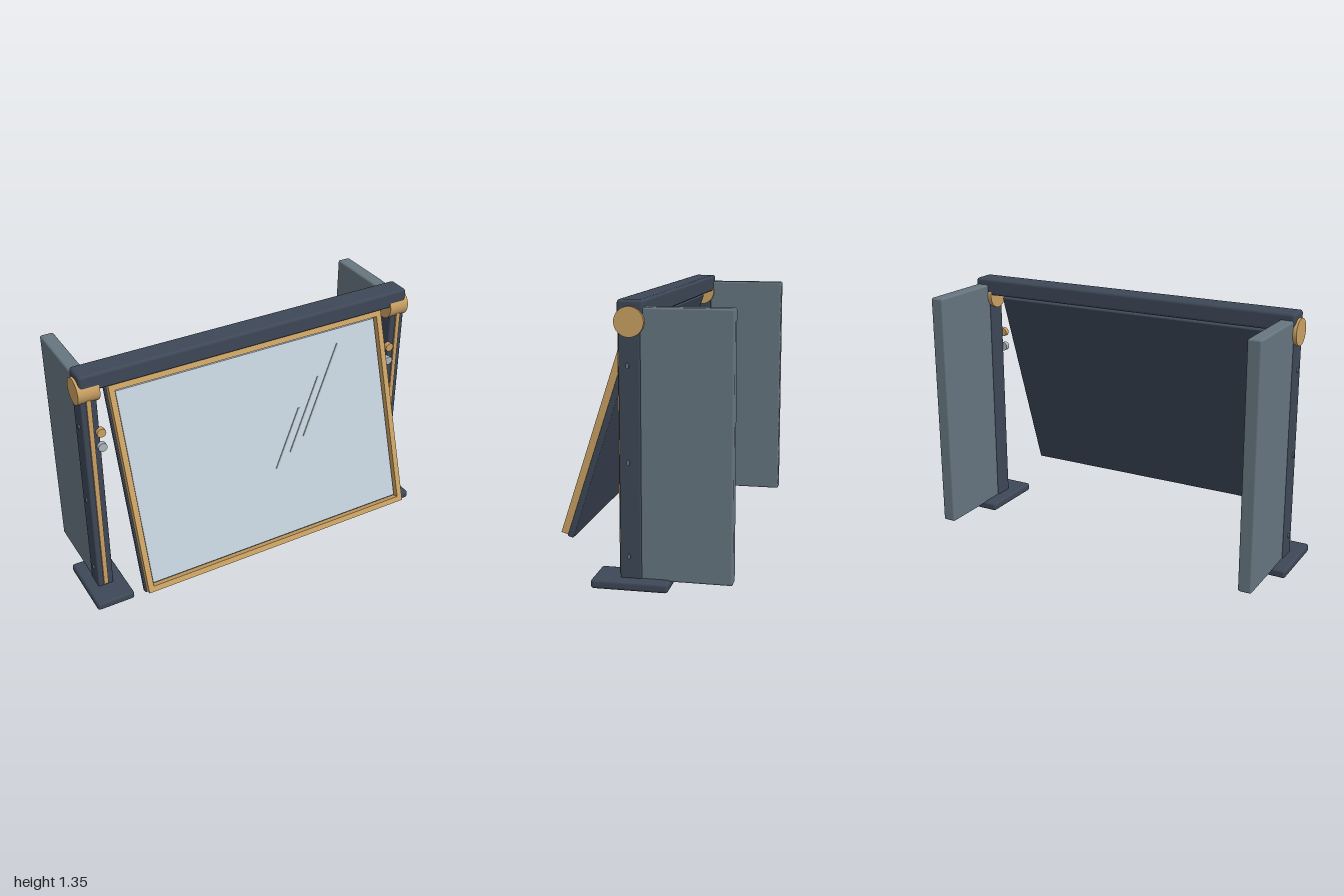
import * as THREE from 'three';
import { RoundedBoxGeometry } from 'three/addons/geometries/RoundedBoxGeometry.js';

function material(name, color) {
  const m = new THREE.MeshStandardMaterial({ color });
  m.name = name;
  return m;
}

export function createModel() {
  const navy = material('navy', 0x3d4756);
  const slate = material('slate', 0x66757f);
  const brass = material('brass', 0xc9a063);
  const glass = material('paleGlass', 0xc0ced8);
  const silver = material('silver', 0xa9b5bb);

  const model = new THREE.Group();
  model.name = 'tiltingPanelStand';

  const add = (parent, name, geometry, mat, x, y, z) => {
    const mesh = new THREE.Mesh(geometry, mat);
    mesh.name = name;
    mesh.position.set(x, y, z);
    parent.add(mesh);
    return mesh;
  };
  // Box with softened edges, given by its limits on each axis
  const block = (parent, name, mat, [x0, x1], [y0, y1], [z0, z1], r = 0) => {
    const size = [x1 - x0, y1 - y0, z1 - z0];
    const geometry = r ? new RoundedBoxGeometry(...size, 2, r) : new THREE.BoxGeometry(...size);
    return add(parent, name, geometry, mat, (x0 + x1) / 2, (y0 + y1) / 2, (z0 + z1) / 2);
  };

  // Top beam
  block(model, 'topBeam', navy, [-0.94, 0.94], [1.257, 1.35], [-0.018, 0.107], 0.016);

  // Side supports, mirrored
  for (const s of [-1, 1]) {
    const side = new THREE.Group();
    side.name = s > 0 ? 'leftSupport' : 'rightSupport';
    model.add(side);
    const span = (a, b) => (s > 0 ? [a, b] : [-b, -a]);

    block(side, 'foot', navy, span(0.79, 1.0), [0, 0.045], [-0.14, 0.23], 0.014);
    block(side, 'post', navy, span(0.855, 0.94), [0.04, 1.27], [-0.002, 0.1], 0.008);
    block(side, 'postTrim', brass, span(0.887, 0.911), [0.055, 1.215], [0.095, 0.109]);
    block(side, 'sideWing', slate, span(0.862, 0.934), [0.035, 1.315], [-0.433, 0.002], 0.01);

    // Hinge drum
    const drum = new THREE.CylinderGeometry(0.07, 0.07, 0.113, 32).rotateZ(Math.PI / 2);
    add(side, 'hingeDrum', drum, brass, s * 0.8965, 1.25, 0.047);

    // Front buttons
    [[1.02, brass], [0.935, silver]].forEach(([y, mat]) => {
      const button = new THREE.CylinderGeometry(0.024, 0.024, 0.026, 16).rotateX(Math.PI / 2);
      add(side, 'button', button, mat, s * 0.853, y, 0.107);
    });

    // Outer bolts
    for (const y of [0.15, 0.6, 1.05]) {
      const bolt = new THREE.CylinderGeometry(0.013, 0.013, 0.02, 12).rotateZ(Math.PI / 2);
      bolt.scale(1, 1, 0.6);
      add(side, 'bolt', bolt, slate, s * 0.938, y, 0.056);
    }
  }

  // Tilted panel, hung from the beam; its origin is the lower front edge
  const panel = new THREE.Group();
  panel.name = 'tiltedPanel';
  panel.position.set(0, 0.2, 0.435);
  panel.rotation.x = -Math.PI / 10;
  model.add(panel);

  const W = 0.79, L = 1.11, bar = 0.03;
  block(panel, 'backBoard', navy, [-0.798, 0.798], [-0.006, L + 0.004], [-0.067, -0.036], 0.006);
  block(panel, 'glassPane', glass, [-0.752, 0.752], [0.04, L - 0.04], [-0.037, -0.02]);

  // Raised frame with an open middle
  const outline = new THREE.Shape();
  outline.moveTo(-W, 0).lineTo(W, 0).lineTo(W, L).lineTo(-W, L).closePath();
  const opening = new THREE.Path();
  opening.moveTo(-W + bar, bar).lineTo(-W + bar, L - bar).lineTo(W - bar, L - bar).lineTo(W - bar, bar).closePath();
  outline.holes.push(opening);
  const frame = new THREE.ExtrudeGeometry(outline, { depth: 0.037, bevelEnabled: false });
  add(panel, 'frame', frame, brass, 0, 0, -0.037);

  // Slanted glints on the glass
  [[0.1325, 0.566, 0.343], [0.25, 0.666, 0.43], [0.3675, 0.771, 0.525]].forEach(([x, y, length]) => {
    const glint = add(panel, 'glint', new THREE.BoxGeometry(length, 0.008, 0.006), silver, x, y, -0.018);
    glint.rotation.z = THREE.MathUtils.degToRad(57.8);
  });

  return model;
}
